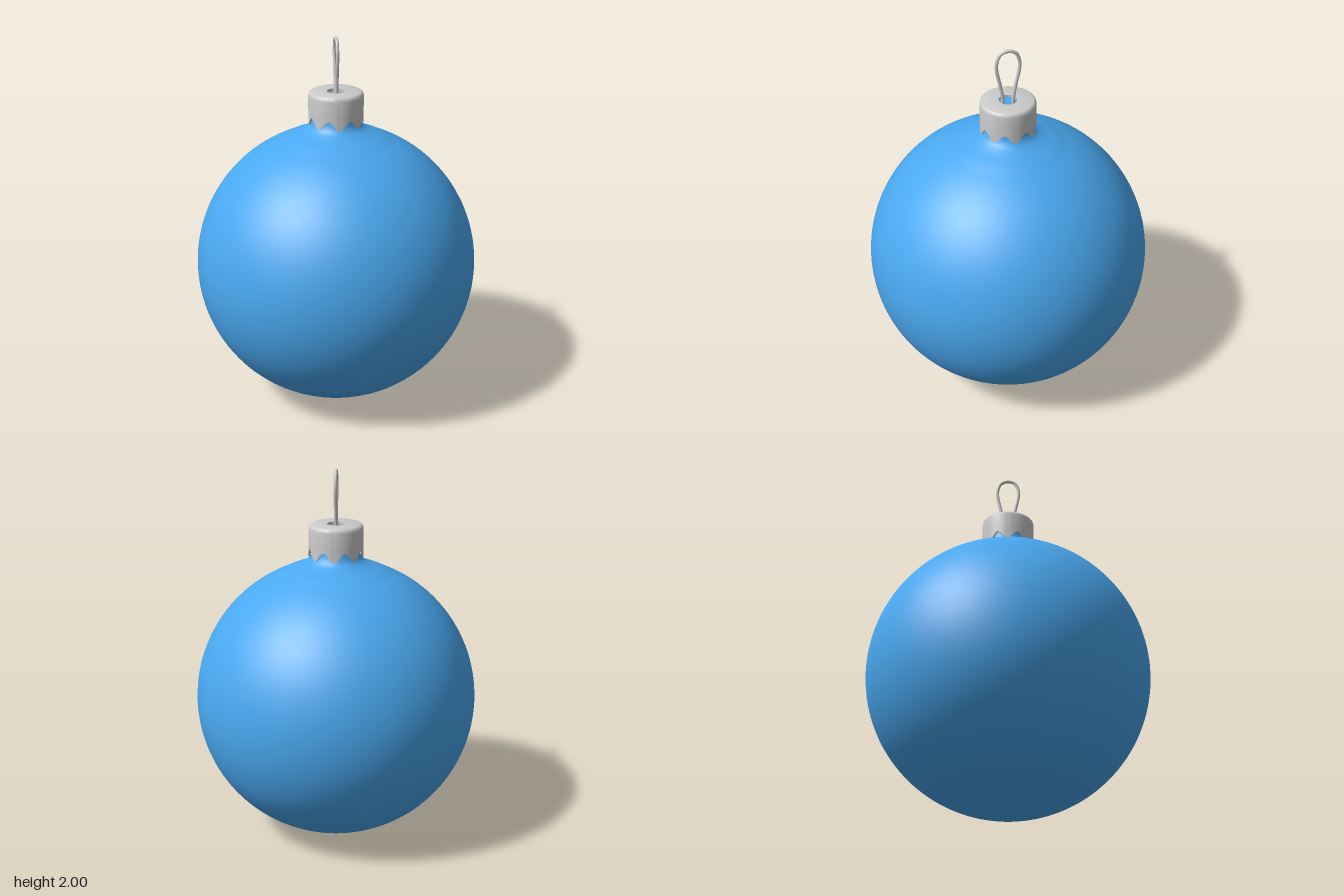
import * as THREE from 'three';
import { toCreasedNormals } from 'three/addons/utils/BufferGeometryUtils.js';

const vec2 = (p) => new THREE.Vector2(p[0], p[1]);

// Glass ball: a circular arc that sweeps up into a short closed neck
function makeBall() {
  const R = 0.755, cy = 0.757, end = Math.PI - Math.asin(0.3 / R);
  const profile = [];
  for (let i = 0; i <= 56; i++) {
    const a = (i / 56) * end;
    profile.push(vec2([R * Math.sin(a), cy - R * Math.cos(a)]));
  }
  const neck = new THREE.SplineCurve([
    [0.3, 1.45], [0.25, 1.474], [0.19, 1.498], [0.147, 1.523],
    [0.128, 1.555], [0.122, 1.6], [0.122, 1.66],
  ].map(vec2));
  profile.push(...neck.getPoints(24).slice(1), vec2([0.115, 1.67]), vec2([0, 1.67]));
  const mesh = new THREE.Mesh(
    new THREE.LatheGeometry(profile, 96),
    new THREE.MeshStandardMaterial({ color: 0x4aa8f0, side: THREE.DoubleSide }),
  );
  mesh.name = 'ball';
  return mesh;
}

// Metal cap: thin shell with a hole on top and eight scallops along the rim
function makeCap(material) {
  const rim = 1.535;
  const profile = [
    [0.145, rim], [0.145, 1.6], [0.145, 1.69], [0.143, 1.702], [0.138, 1.709], [0.13, 1.713],
    [0.047, 1.713], [0.047, 1.7], [0.127, 1.7], [0.135, 1.692], [0.136, 1.6], [0.136, rim], [0.145, rim],
  ].map(vec2);
  const geometry = new THREE.LatheGeometry(profile, 96);
  const pos = geometry.attributes.position;
  for (let i = 0; i < pos.count; i++) {
    if (pos.getY(i) > rim + 0.001) continue;
    const angle = Math.atan2(pos.getX(i), pos.getZ(i));
    pos.setY(i, rim + 0.025 * (1 - Math.cos(8 * angle)));
  }
  geometry.deleteAttribute('uv');
  geometry.deleteAttribute('normal');
  const mesh = new THREE.Mesh(toCreasedNormals(geometry, 0.7), material);
  mesh.name = 'cap';
  return mesh;
}

// Wire hanging loop: a teardrop in the side plane, mirrored front to back
function makeLoop(material) {
  const half = [[0.027, 1.67], [0.028, 1.72], [0.043, 1.81], [0.058, 1.88], [0.059, 1.93], [0.039, 1.977]];
  const points = [
    ...half.map(([z, y]) => new THREE.Vector3(0, y, z)),
    new THREE.Vector3(0, 1.991, 0),
    ...half.slice().reverse().map(([z, y]) => new THREE.Vector3(0, y, -z)),
  ];
  const path = new THREE.CatmullRomCurve3(points);
  const mesh = new THREE.Mesh(new THREE.TubeGeometry(path, 80, 0.009, 12), material);
  mesh.name = 'hangingLoop';
  return mesh;
}

export function createModel() {
  const group = new THREE.Group();
  group.name = 'bauble';
  const metal = new THREE.MeshStandardMaterial({ color: 0xcccccc });
  group.add(makeBall(), makeCap(metal), makeLoop(metal));
  return group;
}
